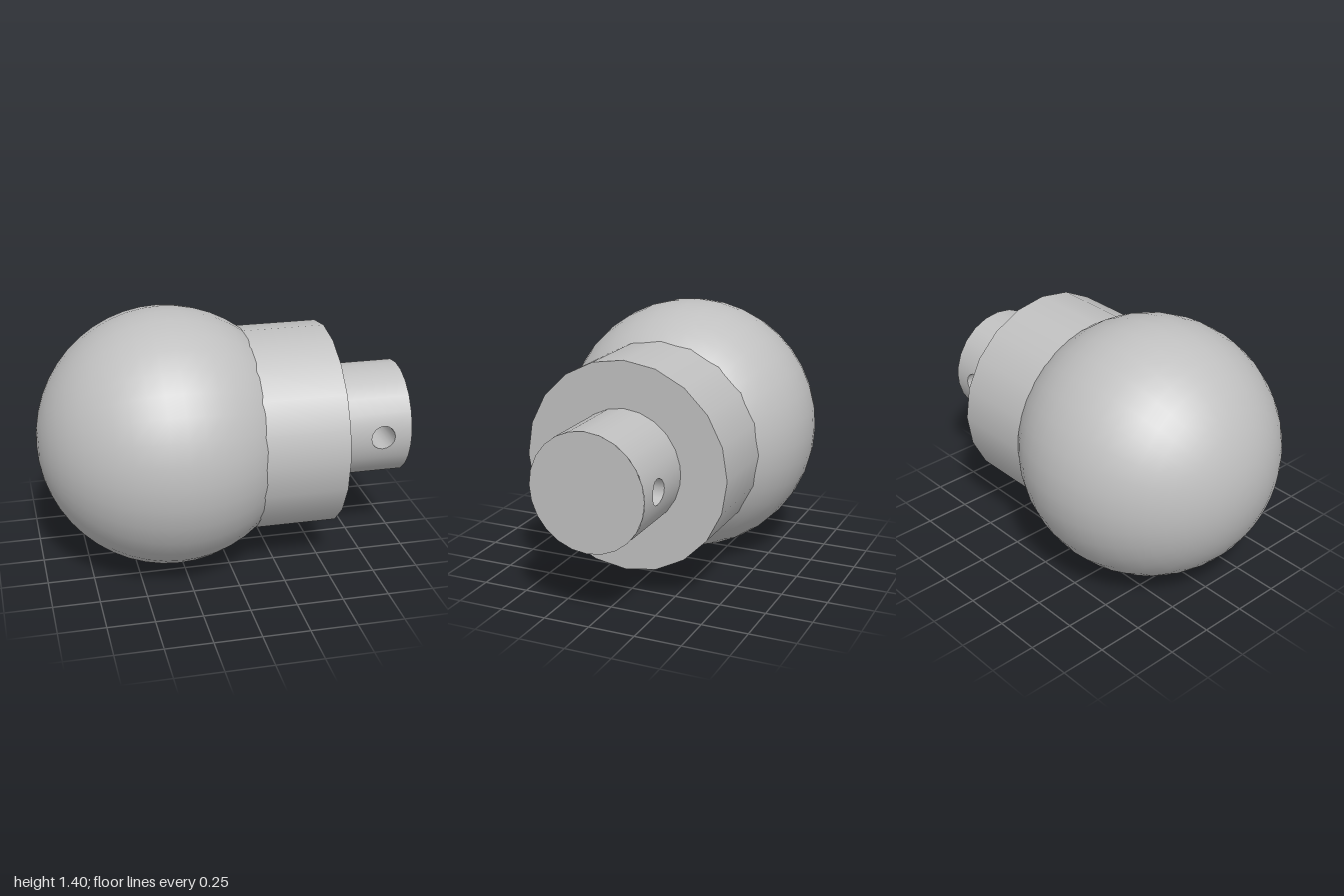
import * as THREE from 'three';

const AXIS_Y = 0.703; // height of the shared axis, which runs along x
const SHAFT_R = 0.311, SHAFT_START = 0.575, SHAFT_END = 1;
const HOLE_X = 0.84, HOLE_R = 0.067, PATCH_Y = 0.13, N = 16;

// Point on the front half of the shaft surface
const onShaft = (x, y) => [x, y, Math.sqrt(SHAFT_R ** 2 - y ** 2)];

function surface(positions, index) {
  const g = new THREE.BufferGeometry();
  g.setAttribute('position', new THREE.Float32BufferAttribute(positions, 3));
  g.setIndex(index);
  g.computeVertexNormals();
  return g;
}

// Strip of quads between closed rings of N points
function ringIndex(rings) {
  const index = [];
  for (let r = 0; r < rings - 1; r++) {
    for (let i = 0; i < N; i++) {
      const j = (i + 1) % N, a = r * N, b = a + N;
      index.push(a + i, b + i, b + j, a + i, b + j, a + j);
    }
  }
  return index;
}

// Curved patch of shaft wall, from the round hole out to a rectangle
function patchGeometry() {
  const p = [], rings = 5;
  for (let r = 0; r < rings; r++) {
    const t = r / (rings - 1);
    for (let i = 0; i < N; i++) {
      const a = (i / N) * Math.PI * 2, c = Math.cos(a), s = Math.sin(a);
      const m = Math.max(Math.abs(c), Math.abs(s));
      const reach = c > 0 ? SHAFT_END - HOLE_X : HOLE_X - SHAFT_START;
      const x = HOLE_X + THREE.MathUtils.lerp(HOLE_R * c, (reach * c) / m, t);
      p.push(...onShaft(x, THREE.MathUtils.lerp(HOLE_R * s, (PATCH_Y * s) / m, t)));
    }
  }
  const g = surface(p, ringIndex(rings));
  // Exact radial normals so the patch blends with the rest of the wall
  const pos = g.attributes.position, nor = g.attributes.normal;
  for (let i = 0; i < pos.count; i++) nor.setXYZ(i, 0, pos.getY(i) / SHAFT_R, pos.getZ(i) / SHAFT_R);
  return g;
}

// Inside wall of the cross hole, from back opening to front opening
function boreGeometry() {
  const p = [];
  for (const side of [1, -1]) {
    for (let i = 0; i < N; i++) {
      const a = (i / N) * Math.PI * 2;
      const [x, y, z] = onShaft(HOLE_X + HOLE_R * Math.cos(a), HOLE_R * Math.sin(a));
      p.push(x, y, z * side);
    }
  }
  const index = ringIndex(2);
  for (let i = 0; i < index.length; i += 3) [index[i + 1], index[i + 2]] = [index[i + 2], index[i + 1]];
  return surface(p, index);
}

export function createModel() {
  const model = new THREE.Group();
  const metal = new THREE.MeshStandardMaterial({ color: 0xc0c0c0 });
  metal.name = 'plain grey';

  const add = (name, geometry, parent = model) => {
    const mesh = new THREE.Mesh(geometry, metal);
    mesh.name = name;
    parent.add(mesh);
    return mesh;
  };

  // Ball, with its poles on the long axis
  const ball = add('ball', new THREE.SphereGeometry(0.702, 36, 24).rotateZ(-Math.PI / 2));
  ball.position.set(-0.298, AXIS_Y, 0);

  // Collar
  const collarLength = SHAFT_START - 0.12;
  const collar = add('collar', new THREE.CylinderGeometry(0.56, 0.56, collarLength, 20).rotateZ(-Math.PI / 2));
  collar.position.set(0.12 + collarLength / 2, AXIS_Y, 0);

  // Shaft with a cross hole from front to back
  const shaft = new THREE.Group();
  shaft.name = 'shaft';
  shaft.position.y = AXIS_Y;
  model.add(shaft);

  const edge = Math.asin(PATCH_Y / SHAFT_R), length = SHAFT_END - SHAFT_START;
  for (const [name, start] of [['shaftLowerWall', edge], ['shaftUpperWall', Math.PI + edge]]) {
    const wall = new THREE.CylinderGeometry(SHAFT_R, SHAFT_R, length, 8, 1, true, start, Math.PI - 2 * edge);
    add(name, wall.rotateZ(-Math.PI / 2), shaft).position.x = (SHAFT_START + SHAFT_END) / 2;
  }
  add('shaftFrontWall', patchGeometry(), shaft);
  add('shaftBackWall', patchGeometry().rotateX(Math.PI), shaft);
  add('crossHole', boreGeometry(), shaft);
  add('shaftEnd', new THREE.CircleGeometry(SHAFT_R, 24).rotateY(Math.PI / 2), shaft).position.x = SHAFT_END;

  return model;
}
